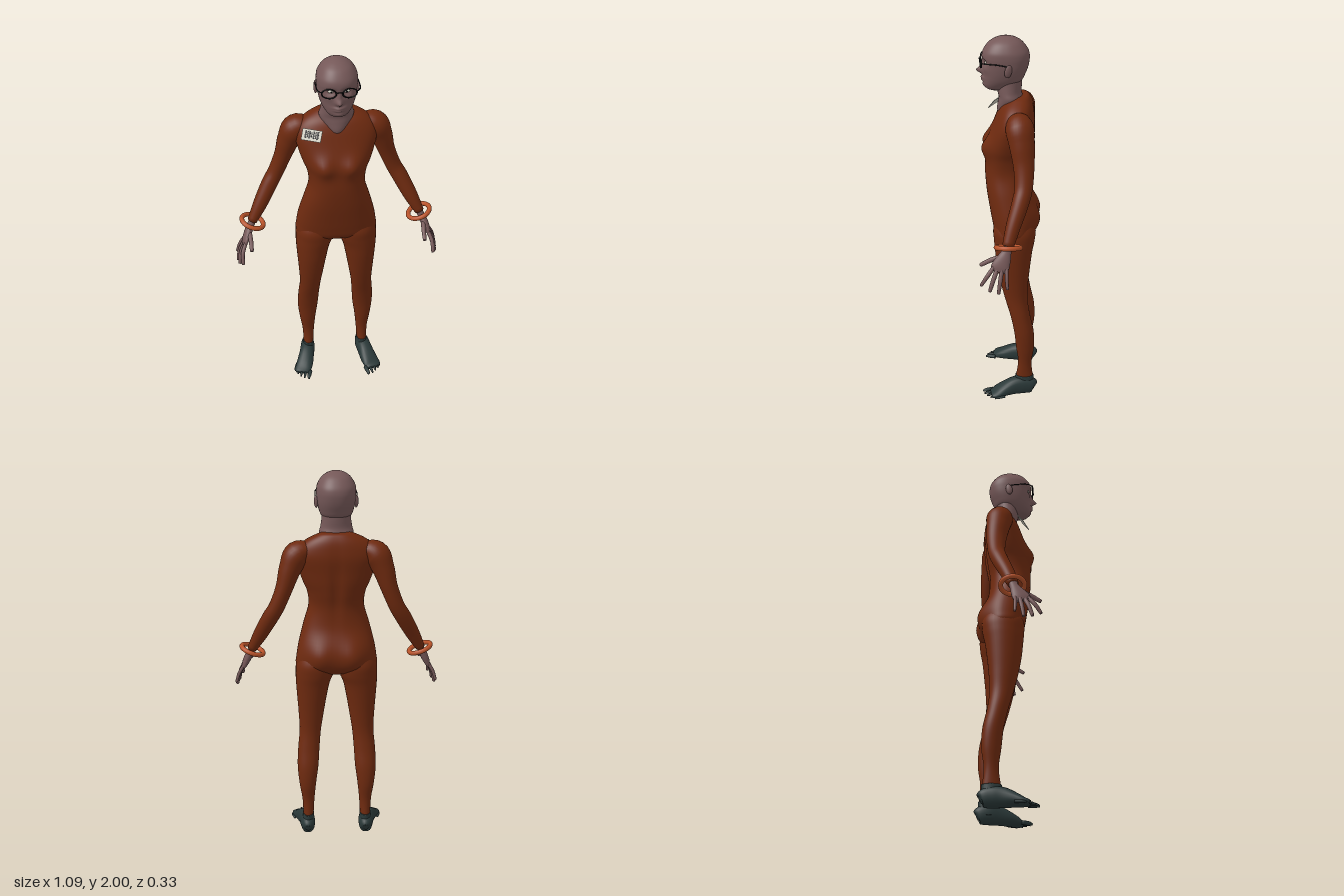
import * as THREE from 'three';

const mat = (name, color) => {
  const m = new THREE.MeshStandardMaterial({ color });
  m.name = name;
  return m;
};
const suit = mat('suit rust', 0x6e2a0f);
const skin = mat('skin', 0x755858);
const sock = mat('sock dark teal', 0x2a3838);
const cuff = mat('cuff orange', 0xb8532a);
const black = mat('black', 0x0c0c0e);
const white = mat('off white', 0xc8c6b8);

const V = (x, y, z) => new THREE.Vector3(x, y, z);
const Z = V(0, 0, 1), Y = V(0, 1, 0);

// Smooth skin over sections [x, y, z, radiusA, radiusB]; B lies along ref, A across it.
// A fixed axis keeps all sections parallel. Bumps [x, y, side, sx, sy, amount] swell the front or back.
function loft(secs, { n = 24, step = 5, ref = Z, axis = null, e = 2, bumps = [] } = {}) {
  const path = new THREE.CatmullRomCurve3(secs.map(s => V(s[0], s[1], s[2])), false, 'catmullrom', 0.5);
  const size = new THREE.CatmullRomCurve3(secs.map(s => V(s[3], s[4], 0)), false, 'catmullrom', 0.5);
  const rows = (secs.length - 1) * step;
  const pos = [], idx = [];
  const pow = v => Math.sign(v) * Math.abs(v) ** (2 / e);
  for (let r = -1; r <= rows + 1; r++) {
    const k = Math.min(1, Math.max(0, r / rows));
    const closed = r < 0 || r > rows ? 0 : 1; // end rings collapse into caps
    const c = path.getPoint(k), s = size.getPoint(k);
    const t = axis || path.getTangent(k);
    const b = ref.clone().addScaledVector(t, -ref.dot(t)).normalize();
    const a = b.clone().cross(t);
    for (let j = 0; j < n; j++) {
      const w = j / n * Math.PI * 2, sn = Math.sin(w);
      const p = c.clone()
        .addScaledVector(a, pow(Math.cos(w)) * Math.max(0, s.x) * closed)
        .addScaledVector(b, pow(sn) * Math.max(0, s.y) * closed);
      const x = p.x, y = p.y;
      for (const [bx, by, side, sx, sy, amt] of bumps) {
        const g = Math.exp(-(((x - bx) / sx) ** 2) - ((y - by) / sy) ** 2);
        p.z += side * amt * g * Math.max(0, side * sn) * closed;
      }
      pos.push(p.x, p.y, p.z);
    }
  }
  for (let r = 0; r < rows + 2; r++) for (let j = 0; j < n; j++) {
    const a = r * n + j, b = r * n + (j + 1) % n;
    idx.push(a, b, b + n, a, b + n, a + n);
  }
  const g = new THREE.BufferGeometry();
  g.setAttribute('position', new THREE.Float32BufferAttribute(pos, 3));
  g.setIndex(idx);
  g.computeVertexNormals();
  return g;
}
// Level section from height, half width, front z and back z
const level = ([y, rx, zf, zb]) => [0, y, (zf + zb) / 2, rx, (zf - zb) / 2];
const both = (x, ...rest) => [[x, ...rest], [-x, ...rest]];

export function createModel() {
  const model = new THREE.Group();
  model.name = 'figure';
  const add = (name, geo, m, parent = model) => {
    const mesh = new THREE.Mesh(geo, m);
    mesh.name = name;
    parent.add(mesh);
    return mesh;
  };

  // Torso of the suit
  add('torso', loft([
    [0.93, 0.06, 0, -0.06], [0.945, 0.16, 0.04, -0.1], [0.98, 0.213, 0.075, -0.135], [1.03, 0.212, 0.088, -0.145],
    [1.1, 0.2, 0.1, -0.138], [1.2, 0.174, 0.115, -0.11], [1.3, 0.146, 0.122, -0.103], [1.38, 0.153, 0.117, -0.116],
    [1.44, 0.176, 0.11, -0.125], [1.5, 0.195, 0.095, -0.13], [1.57, 0.21, 0.07, -0.136], [1.62, 0.195, 0.05, -0.132],
    [1.66, 0.155, 0.028, -0.123], [1.69, 0.1, -0.005, -0.108], [1.7, 0.07, -0.03, -0.095],
  ].map(level), {
    n: 64, axis: Y, e: 2.35,
    bumps: [...both(0.075, 1.435, 1, 0.055, 0.055, 0.034), ...both(0.09, 1.05, -1, 0.075, 0.08, 0.03),
      [0, 1.42, -1, 0.025, 0.16, -0.012]],
  }), suit);

  // Neck, then head with the face swelled out of it
  add('neck', loft([
    [1.58, 0.035, 0.045, -0.05], [1.62, 0.052, 0.058, -0.06], [1.66, 0.076, 0.054, -0.068], [1.69, 0.088, 0.05, -0.072],
    [1.72, 0.081, 0.056, -0.066], [1.76, 0.075, 0.06, -0.068], [1.82, 0.07, 0.06, -0.07],
  ].map(level), { n: 32, axis: Y }), skin);
  add('head', loft([
    [1.724, 0.025, 0.09, 0.02], [1.735, 0.048, 0.112, -0.005], [1.755, 0.066, 0.124, -0.04], [1.78, 0.081, 0.126, -0.07],
    [1.81, 0.091, 0.126, -0.085], [1.84, 0.097, 0.127, -0.097], [1.87, 0.1, 0.129, -0.104], [1.9, 0.101, 0.133, -0.106],
    [1.93, 0.096, 0.126, -0.098], [1.965, 0.075, 0.1, -0.072], [1.985, 0.05, 0.07, -0.045], [1.996, 0.024, 0.04, -0.015],
    [2, 0.003, 0.015, 0.009],
  ].map(level), {
    n: 96, step: 7, axis: Y, e: 2.25,
    bumps: [[0, 1.823, 1, 0.016, 0.017, 0.034], [0, 1.855, 1, 0.011, 0.024, 0.014], [0, 1.79, 1, 0.027, 0.007, 0.013],
      [0, 1.777, 1, 0.024, 0.007, 0.013], [0, 1.752, 1, 0.025, 0.013, 0.007],
      ...both(0.038, 1.872, 1, 0.025, 0.018, -0.016), ...both(0.06, 1.84, 1, 0.022, 0.02, 0.005)],
  }), skin);

  // Spectacles
  const glasses = new THREE.Group();
  glasses.name = 'glasses';
  model.add(glasses);
  const wire = (name, pts, r = 0.003) => add(name,
    new THREE.TubeGeometry(new THREE.CatmullRomCurve3(pts), 12, r, 6), black, glasses);
  wire('bridge', [V(-0.018, 1.878, 0.141), V(0, 1.884, 0.146), V(0.018, 1.878, 0.141)]);

  // Badge on the right of the chest
  const badge = new THREE.Group();
  badge.name = 'badge';
  const u = V(0.095, 0, 0.042).normalize(), up = V(0.015, 0.048, -0.034).normalize();
  badge.quaternion.setFromRotationMatrix(new THREE.Matrix4().makeBasis(u, up, u.clone().cross(up)));
  badge.position.set(-0.13, 1.615, 0.072);
  model.add(badge);
  add('badgePlate', new THREE.BoxGeometry(0.102, 0.058, 0.003), white, badge);
  [0.008, 0.005, 0.009, 0.004, 0.007, 0.005, 0.009].forEach((w, i) => {
    const h = i % 2 ? 0.032 : 0.038;
    add('badgeBar', new THREE.BoxGeometry(w, h, 0.002), black, badge).position.set((i - 3) * 0.0105, 0.002, 0.0022);
  });

  for (const s of [1, -1]) {
    const side = s > 0 ? 'left' : 'right';
    const flip = secs => secs.map(([x, ...rest]) => [x * s, ...rest]);

    // Leg: height, outer x, inner x, front z, back z
    add(side + 'Leg', loft(flip([
      [0.1, 0.186, 0.13, -0.045, -0.14], [0.2, 0.19, 0.124, -0.058, -0.132], [0.3, 0.205, 0.114, -0.046, -0.145],
      [0.4, 0.214, 0.101, -0.035, -0.141], [0.5, 0.21, 0.094, -0.014, -0.12], [0.6, 0.201, 0.085, 0.015, -0.106],
      [0.7, 0.205, 0.069, 0.04, -0.11], [0.8, 0.212, 0.052, 0.059, -0.12], [0.88, 0.217, 0.035, 0.068, -0.13],
      [0.94, 0.218, 0.012, 0.074, -0.142], [1.0, 0.212, 0.01, 0.076, -0.145], [1.07, 0.18, 0.03, 0.05, -0.12],
    ].map(([y, o, i, zf, zb]) => [(o + i) / 2, y, (zf + zb) / 2, (o - i) / 2, (zf - zb) / 2])),
    { n: 36, axis: Y, e: 2.1 }), suit);

    // Sock foot with toes
    const foot = new THREE.Group();
    foot.name = side + 'Foot';
    model.add(foot);
    add('ankle', loft(flip([[0.16, 0.04, -0.09, 0.038, 0.055], [0.159, 0.08, -0.091, 0.033, 0.052],
      [0.158, 0.115, -0.093, 0.03, 0.05]]), { axis: Y }), sock, foot);
    add('sole', loft(flip([
      [0.16, 0.04, -0.15, 0.012, 0.02], [0.16, 0.045, -0.138, 0.032, 0.043], [0.163, 0.052, -0.09, 0.041, 0.052],
      [0.172, 0.05, -0.04, 0.042, 0.05], [0.187, 0.035, 0.02, 0.047, 0.035], [0.203, 0.021, 0.065, 0.047, 0.02],
      [0.208, 0.015, 0.09, 0.038, 0.012],
    ]), { ref: Y, e: 2.3 }), sock, foot);
    [[0.176, 0.138], [0.2, 0.13], [0.219, 0.114], [0.236, 0.094], [0.249, 0.068]].forEach(([x, z], i) => {
      const r = i ? 0.0075 : 0.011;
      add('toe', loft(flip([[x - 0.014, 0.016, z - 0.055, r, r], [x - 0.004, 0.014, z - 0.02, r, r],
        [x, 0.01, z, r * 0.5, r * 0.5]]), { n: 10, ref: Y }), sock, foot);
    });

    // Sleeve
    add(side + 'Arm', loft(flip([
      [0.11, 1.62, -0.05, 0.025, 0.035], [0.195, 1.592, -0.06, 0.067, 0.07], [0.236, 1.52, -0.072, 0.058, 0.064],
      [0.268, 1.42, -0.083, 0.045, 0.053], [0.308, 1.32, -0.084, 0.041, 0.045], [0.347, 1.25, -0.068, 0.042, 0.043],
      [0.4, 1.15, -0.035, 0.037, 0.037], [0.447, 1.062, -0.01, 0.025, 0.029],
    ]), { n: 32 }), suit);

    // Hand: palm, four fingers and thumb
    const hand = new THREE.Group();
    hand.name = side + 'Hand';
    model.add(hand);
    add('palm', loft(flip([
      [0.442, 1.072, -0.012, 0.019, 0.023], [0.456, 1.04, -0.004, 0.019, 0.024], [0.472, 1.005, 0.01, 0.02, 0.036],
      [0.487, 0.97, 0.026, 0.017, 0.045], [0.497, 0.945, 0.034, 0.01, 0.04],
    ])), skin, hand);
    const digit = (name, a, b, c, r) => add(name, loft(flip([[...a, r, r], [...b, r, r],
      [...c.map((v, i) => v * 0.9 + b[i] * 0.1), r * 0.8, r * 0.8], [...c, r * 0.4, r * 0.4]]), { n: 12 }), skin, hand);
    digit('indexFinger', [0.487, 0.97, 0.057], [0.506, 0.925, 0.09], [0.508, 0.873, 0.122], 0.0105);
    digit('middleFinger', [0.489, 0.965, 0.04], [0.516, 0.91, 0.06], [0.526, 0.85, 0.078], 0.011);
    digit('ringFinger', [0.491, 0.965, 0.018], [0.521, 0.905, 0.026], [0.535, 0.842, 0.034], 0.0105);
    digit('littleFinger', [0.49, 0.97, -0.004], [0.52, 0.92, -0.006], [0.537, 0.868, -0.01], 0.009);
    digit('thumb', [0.465, 1.015, 0.02], [0.46, 0.992, 0.075], [0.458, 0.962, 0.128], 0.012);

    // Wrist ring
    const ring = add(side + 'Cuff', new THREE.TorusGeometry(0.06, 0.0125, 14, 40), cuff);
    ring.position.set(0.445 * s, 1.055, -0.012);
    ring.quaternion.setFromUnitVectors(Z, V(0.36 * s, -0.93, 0).normalize());

    // Ear, eye and pupil
    const ball = (name, m, p, size, parent = model) => {
      const b = add(name, new THREE.SphereGeometry(1, 20, 14), m, parent);
      b.position.set(p[0] * s, p[1], p[2]);
      b.scale.set(...size);
      return b;
    };
    const ear = ball(side + 'Ear', skin, [0.102, 1.845, -0.002], [0.01, 0.033, 0.019]);
    ear.rotation.set(-0.2, 0.3 * s, 0);
    ball(side + 'Eye', white, [0.037, 1.873, 0.104], [0.017, 0.009, 0.013]);
    ball(side + 'Pupil', black, [0.037, 1.873, 0.1155], [0.005, 0.005, 0.003]);

    // Lens rim and temple
    const rim = add('rim', new THREE.TorusGeometry(0.032, 0.0038, 8, 36), black, glasses);
    rim.position.set(0.05 * s, 1.875, 0.136);
    rim.scale.set(1.08, 0.75, 1);
    rim.rotation.y = 0.15 * s;
    wire('temple', [V(0.083 * s, 1.88, 0.131), V(0.1 * s, 1.882, 0.115), V(0.106 * s, 1.878, 0.05), V(0.105 * s, 1.868, -0.005)]);
  }
  return model;
}
